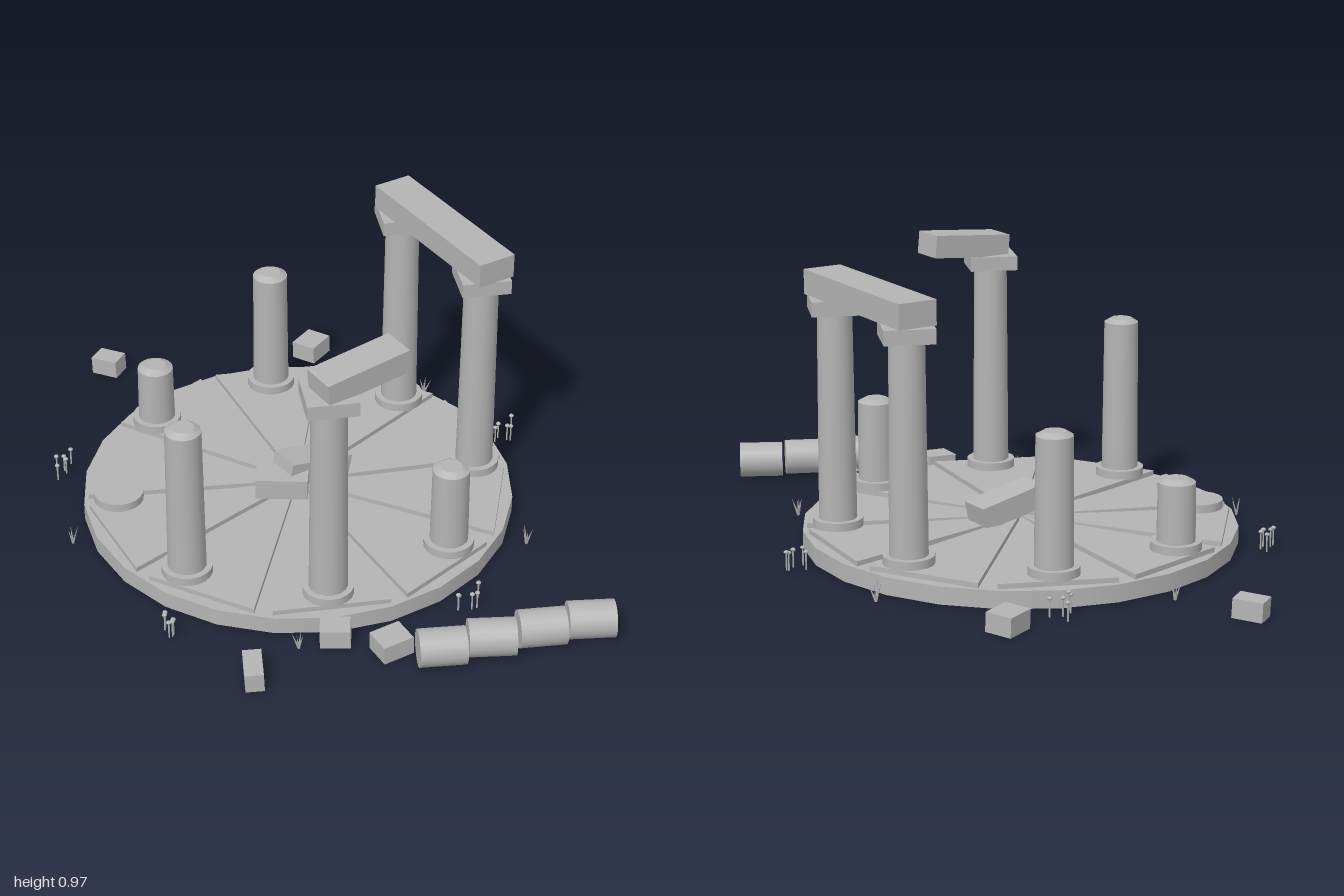
import * as THREE from 'three';

export function createModel() {
  const root = new THREE.Group();
  root.name = 'ruinedTemple';
  const stone = new THREE.MeshStandardMaterial({ color: 0xb4b4b4 });
  stone.name = 'weatheredStone';
  const CX = -0.037, CZ = -0.021;

  const add = (name, geometry, x, y, z, parent = root) => {
    const mesh = new THREE.Mesh(geometry, stone);
    mesh.name = name;
    mesh.position.set(x, y, z);
    parent.add(mesh);
    return mesh;
  };
  const block = (name, [w, h, d], [x, y, z], yaw = 0, roll = 0) => {
    const mesh = add(name, new THREE.BoxGeometry(w, h, d), x, y, z);
    mesh.rotation.set(0, yaw, roll, 'YXZ');
    return mesh;
  };
  const cylinder = (rTop, rBottom, h, sides = 20) =>
    new THREE.CylinderGeometry(rTop, rBottom, h, sides);

  // Round platform
  add('platform', cylinder(0.747, 0.747, 0.06, 24), CX, 0.04, CZ);

  // Ten paving wedges with open joints between them
  const half = THREE.MathUtils.degToRad(15.6);
  const wedge = new THREE.Shape([
    new THREE.Vector2(0.01, 0),
    new THREE.Vector2(0.73 * Math.cos(half), -0.73 * Math.sin(half)),
    new THREE.Vector2(0.73 * Math.cos(half), 0.73 * Math.sin(half)),
  ]);
  const wedgeGeometry = new THREE.ExtrudeGeometry(wedge, { depth: 0.02, bevelEnabled: false });
  wedgeGeometry.rotateX(-Math.PI / 2);
  for (let i = 0; i < 10; i++) {
    const slab = add('pavingWedge', wedgeGeometry, CX, 0.067, CZ);
    slab.rotation.y = Math.PI / 2 + (i * Math.PI) / 5;
  }

  // Eight column places, starting at the front and turning towards +x
  const columns = [
    { top: 0.83, capital: true },
    { top: 0.41 },
    { top: 0.83, capital: true },
    { top: 0.83, capital: true },
    { top: 0.56 },
    { top: 0.33 },
    { top: 0 },
    { top: 0.665 },
  ];
  columns.forEach(({ top, capital }, i) => {
    const column = new THREE.Group();
    column.name = 'column';
    const angle = (i * Math.PI) / 4;
    column.position.set(CX + 0.626 * Math.sin(angle), 0, CZ + 0.626 * Math.cos(angle));
    root.add(column);
    add('columnBase', cylinder(0.086, 0.086, 0.032), 0, 0.1, 0, column);
    if (!top) return;
    const shaftTop = capital ? top : top - 0.014;
    const rTop = 0.065 - 0.006 * (shaftTop / 0.83);
    add('shaft', cylinder(rTop, 0.065, shaftTop - 0.11), 0, (shaftTop + 0.11) / 2, 0, column);
    if (capital) add('capital', new THREE.BoxGeometry(0.167, 0.05, 0.167), 0, 0.854, 0, column);
    else add('brokenTop', cylinder(0.038, rTop, 0.014, 10), 0, top - 0.007, 0, column);
  });

  // Lintels still resting on the capitals
  block('lintel', [0.138, 0.085, 0.633], [0.499, 0.921, -0.233], 0.393);
  block('brokenLintel', [0.306, 0.08, 0.12], [0.064, 0.922, 0.571], 0.41, 0.09);

  // Fallen blocks in the middle
  block('fallenBlock', [0.25, 0.08, 0.115], [0.016, 0.14, -0.045], 0.42, -0.2);
  block('fallenBlock', [0.18, 0.075, 0.105], [-0.1, 0.125, 0.03], -0.2);

  // Drums of a toppled column
  [
    [0.277, 0.928, -0.05],
    [0.445, 0.907, -0.1],
    [0.615, 0.884, -0.03],
    [0.783, 0.87, -0.09],
  ].forEach(([x, z, yaw]) => {
    const drum = add('fallenDrum', cylinder(0.063, 0.063, 0.155).rotateZ(Math.PI / 2), x, 0.072, z);
    drum.rotation.y = yaw;
  });

  // Rubble around the platform: x, z, width, depth, yaw
  [
    [-0.61, -0.94, 0.102, 0.076, -0.6],
    [0.16, -0.93, 0.094, 0.11, -0.75],
    [-0.04, 0.765, 0.1, 0.082, -0.2],
    [0.13, 0.845, 0.11, 0.095, 0.35],
    [-0.33, 0.91, 0.062, 0.13, -0.08],
  ].forEach(([x, z, w, d, yaw]) => block('rubble', [w, 0.066, d], [x, 0.04, z], yaw, 0.04));

  // Small flowers in clusters of five: x, z pairs
  const stem = cylinder(0.003, 0.003, 0.06, 5);
  const head = new THREE.SphereGeometry(0.009, 8, 6);
  [
    [-0.06, -0.81, -0.05, -0.83, -0.026, -0.86, -0.037, -0.886, 0.02, -0.88],
    [-0.857, -0.267, -0.857, -0.3, -0.825, -0.29, -0.83, -0.32, -0.804, -0.335],
    [0.72, -0.246, 0.73, -0.246, 0.762, -0.24, 0.777, -0.246, 0.788, -0.288],
    [-0.577, 0.61, -0.582, 0.643, -0.556, 0.66, -0.571, 0.664, -0.561, 0.68],
    [0.386, 0.68, 0.381, 0.696, 0.429, 0.69, 0.45, 0.675, 0.46, 0.643],
  ].forEach((points) => {
    for (let i = 0; i < points.length; i += 2) {
      const lift = (i % 3) * 0.008;
      add('flowerStem', stem, points[i], 0.038 + lift, points[i + 1]);
      add('flowerHead', head, points[i], 0.07 + lift, points[i + 1]).scale.y = 0.7;
    }
  });

  // Grass tufts with splayed blades
  const blade = new THREE.ConeGeometry(0.005, 0.065, 4).translate(0, 0.0325, 0);
  [
    [-0.413, -0.743],
    [0.53, -0.6],
    [-0.836, 0.108],
    [0.692, 0.362],
    [-0.164, 0.786],
  ].forEach(([x, z], k) => {
    for (let i = 0; i < 4; i++) {
      const grass = add('grassBlade', blade, x, 0.008, z);
      grass.rotation.set(0, k + i * 1.65, -0.2 - 0.07 * i, 'YXZ');
    }
  });

  return root;
}
